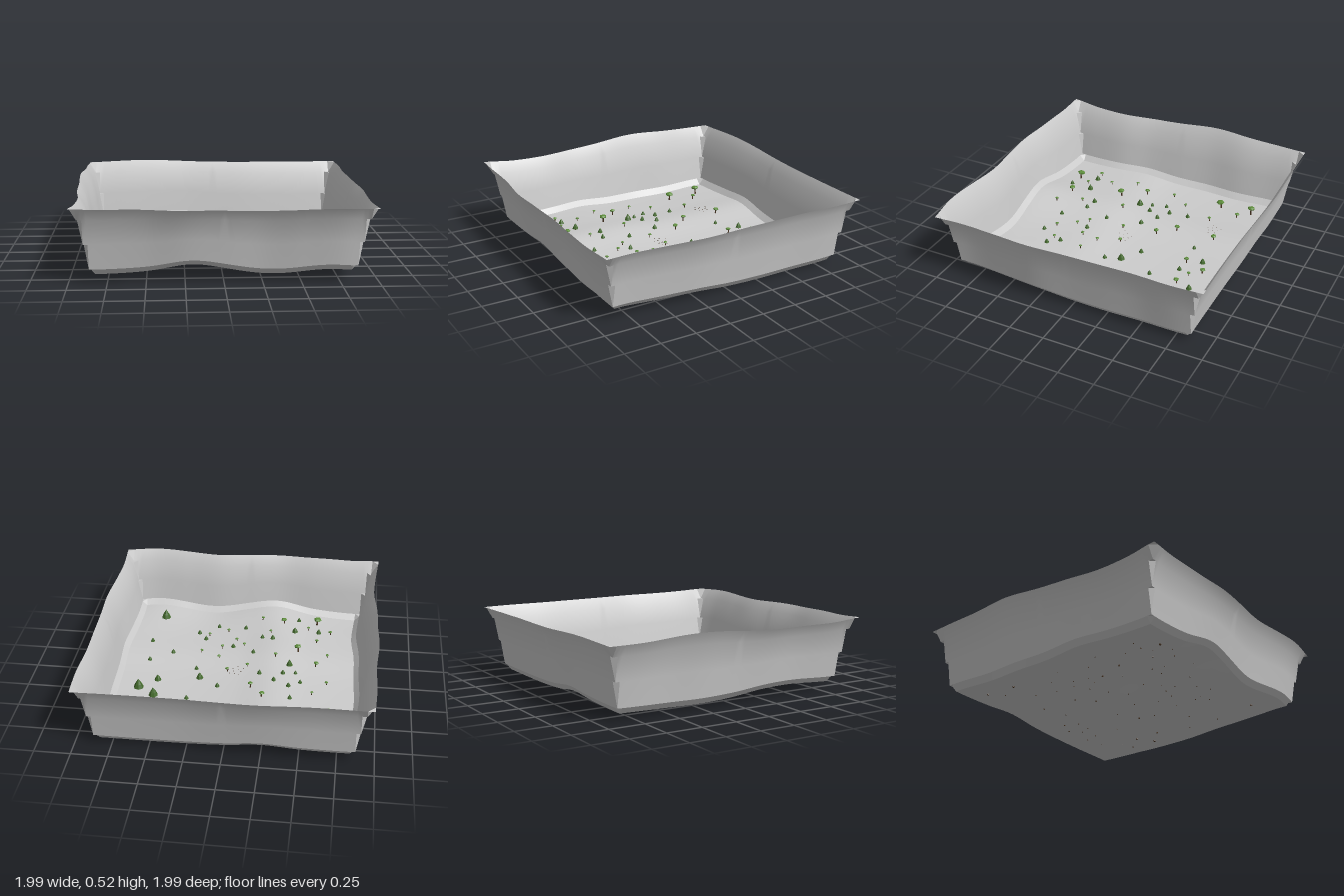
import * as THREE from 'three';
import { toCreasedNormals } from 'three/addons/utils/BufferGeometryUtils.js';

// Smooth curve through evenly spaced values over -1..1
const spline = (values) => {
  const c = new THREE.SplineCurve(values.map((v, i) => new THREE.Vector2(i, v)));
  return (t) => c.getPoint(THREE.MathUtils.clamp((t + 1) / 2, 0, 1)).y;
};
// Sum of soft bumps [x, z, height, radius]
const bumps = (list, x, z) => list.reduce((s, [bx, bz, h, r]) =>
  s + h * Math.exp(-((x - bx) ** 2 + (z - bz) ** 2) / (r * r)), 0);

// Ground relief and wall-top relief
const alongX = spline([0.03, 0.033, 0.045, 0.062, 0.03, 0.014, 0.01, 0.012, 0.015]);
const alongZ = spline([0.022, 0.018, 0.011, 0.011, 0.02, 0.045, 0.045, 0.035, 0.03]);
const floorBumps = [[-0.1, 0.87, 0.045, 0.28], [0.68, 0.87, 0.045, 0.28]];
const ground = (x, z) => alongX(x) + alongZ(z) - 0.01 + bumps(floorBumps, x, z);
const topBumps = [[-0.98, -0.3, 0.035, 0.35], [-0.98, 0.98, 0.02, 0.15], [-0.6, 0.98, 0.02, 0.3],
  [-0.1, 0.98, 0.012, 0.25], [0.7, 0.98, 0.017, 0.3], [-0.55, -0.98, 0.018, 0.35]];
const wallTop = (x, z) => 0.487 + bumps(topBumps, x, z);

// Outward waviness of each wall
const wave = {
  left: spline([0.0, 0.01, 0.005, 0.02, 0.01, 0.005, -0.02, -0.01, 0.01]),
  right: spline([0.0, 0.01, 0.0, 0.005, 0.01, 0.02, 0.005, -0.005, 0.01]),
  back: spline([0.0, 0.01, 0.02, 0.022, 0.01, 0.0, -0.002, 0.0, 0.005]),
  front: spline([-0.01, -0.01, 0.0, 0.022, 0.01, -0.006, 0.01, 0.02, -0.01]),
};

// Wall profile: distance from centre, and fraction of wall height
const RING = [0.83, 0.865, 0.895, 0.928, 0.975];
const RISE = [0, 0.09, 0.47, 0.83, 1];
const INNER = 48, EDGE = 4, N = INNER + 2 * EDGE;

// One grid whose outer rows rise as walls, with stepped corners
function terrainGeometry() {
  const line = (i) => {
    const k = i - N / 2, a = Math.abs(k) - INNER / 2;
    return a <= 0 ? (k / (INNER / 2)) * RING[0] : Math.sign(k) * RING[a];
  };
  const pos = [], index = [];
  for (let j = 0; j <= N; j++) {
    for (let i = 0; i <= N; i++) {
      const x = line(i), z = line(j);
      const ring = Math.max(0, Math.max(Math.abs(i - N / 2), Math.abs(j - N / 2)) - INNER / 2);
      const y = THREE.MathUtils.lerp(ground(x, z), wallTop(x, z), RISE[ring]);
      const sx = THREE.MathUtils.smoothstep(Math.abs(x), 0.5, 0.83);
      const sz = THREE.MathUtils.smoothstep(Math.abs(z), 0.5, 0.83);
      const dx = x > 0 ? wave.right(z) : -wave.left(z);
      const dz = z > 0 ? wave.front(x) : -wave.back(x);
      pos.push(x + dx * sx, y, z + dz * sz);
    }
  }
  for (let j = 0; j < N; j++) {
    for (let i = 0; i < N; i++) {
      const a = j * (N + 1) + i, b = a + 1, c = a + N + 1, d = c + 1;
      // the diagonal runs across each corner
      if ((i < N / 2) === (j < N / 2)) index.push(a, c, b, b, c, d);
      else index.push(a, c, d, a, d, b);
    }
  }
  const g = new THREE.BufferGeometry();
  g.setAttribute('position', new THREE.Float32BufferAttribute(pos, 3));
  g.setIndex(index);
  return toCreasedNormals(g, 0.4);
}

// Trees as x, z, crown radius
const CONIFERS = [
  [0.57, -0.31, 0.034], [0.69, -0.23, 0.037], [0.64, 0.66, 0.036], [0.70, -0.44, 0.025],
  [0.57, -0.12, 0.025], [0.27, -0.07, 0.026], [-0.37, 0.09, 0.025], [0.07, -0.61, 0.021],
  [0.38, -0.64, 0.021], [0.52, -0.61, 0.016], [0.61, -0.48, 0.016], [0.20, -0.49, 0.017],
  [-0.06, -0.49, 0.014], [0.33, -0.32, 0.016], [0.13, -0.16, 0.017], [0.31, 0.04, 0.016],
  [0.67, 0.11, 0.016], [0.51, 0.21, 0.017], [0.69, 0.34, 0.016], [0.29, 0.41, 0.017],
  [0.35, 0.49, 0.017], [0.21, 0.59, 0.016], [0, 0.56, 0.016], [-0.38, 0.52, 0.022],
  [-0.56, 0.55, 0.02], [-0.40, 0.69, 0.016], [-0.22, 0.40, 0.018], [-0.14, 0.42, 0.016],
  [0.07, 0.31, 0.017], [-0.09, 0.23, 0.016], [-0.16, -0.02, 0.018], [-0.27, -0.10, 0.017],
  [-0.33, -0.01, 0.017], [-0.42, 0.01, 0.014], [-0.46, -0.09, 0.015], [-0.38, -0.15, 0.017],
  [-0.40, -0.29, 0.016],
];
const BROADLEAVES = [
  [-0.67, -0.69, 0.03], [-0.67, -0.45, 0.03], [-0.58, -0.61, 0.018], [-0.44, -0.45, 0.015],
  [-0.20, -0.58, 0.021], [-0.20, -0.29, 0.02], [-0.11, -0.17, 0.02], [0.17, -0.65, 0.02],
  [0.10, -0.50, 0.02], [0.34, -0.53, 0.02], [0.23, -0.57, 0.014], [-0.55, -0.21, 0.013],
  [-0.65, -0.07, 0.013], [-0.56, 0.12, 0.02], [-0.42, 0.27, 0.027], [-0.64, 0.24, 0.013],
  [-0.55, 0.42, 0.013], [-0.65, 0.56, 0.015], [-0.54, 0.69, 0.03], [-0.48, 0.59, 0.013],
  [-0.29, 0.63, 0.022], [-0.12, 0.67, 0.013], [-0.20, 0.49, 0.013], [0.13, 0.53, 0.013],
  [0.27, 0.47, 0.013], [0.05, 0.40, 0.013], [-0.01, 0.33, 0.013], [0.15, 0.30, 0.014],
  [0.16, 0.18, 0.013], [0.30, 0.24, 0.013], [0.08, 0.03, 0.015], [-0.06, 0.08, 0.014],
  [-0.26, 0.18, 0.015],
];

export function createModel() {
  const model = new THREE.Group();
  const paint = (color) => new THREE.MeshStandardMaterial({ color, flatShading: true });
  const bark = paint(0x4a3522), pine = paint(0x42692a), leaf = paint(0x5c8c3a);
  const add = (parent, name, geometry, material) => {
    const m = new THREE.Mesh(geometry, material);
    m.name = name;
    parent.add(m);
    return m;
  };

  // Floor and walls
  add(model, 'terrain', terrainGeometry(),
    new THREE.MeshStandardMaterial({ color: 0xcccccc, side: THREE.DoubleSide }));

  // Unit-radius tree parts, scaled per tree
  const trunk = new THREE.CylinderGeometry(0.16, 0.24, 1.7, 5).translate(0, 0.55, 0);
  const skirt = new THREE.CylinderGeometry(0.66, 1, 0.8, 7).translate(0, 0.8, 0);
  const tip = new THREE.ConeGeometry(0.66, 1.1, 7).translate(0, 1.75, 0);
  const crown = new THREE.IcosahedronGeometry(1, 0).scale(1, 0.5, 1).translate(0, 1.7, 0);
  const tree = (name, x, z, r, i) => {
    const t = new THREE.Group();
    t.name = name;
    t.position.set(x, ground(x, z), z);
    t.rotation.y = i * 2.4;
    t.scale.setScalar(r);
    add(t, 'trunk', trunk, bark);
    model.add(t);
    return t;
  };
  CONIFERS.forEach(([x, z, r], i) => {
    const t = tree('conifer', x, z, r, i);
    add(t, 'lowerCrown', skirt, pine);
    add(t, 'upperCrown', tip, pine);
  });
  BROADLEAVES.forEach(([x, z, r], i) => {
    add(tree('broadleaf', x, z, r, i), 'crown', crown, leaf).rotation.z = 0.12;
  });

  // Two loose scatters of pebbles
  const pebble = new THREE.TetrahedronGeometry(0.005);
  for (const [cx, cz] of [[-0.32, -0.53], [0.02, 0.03]]) {
    for (let i = 0; i < 10; i++) {
      const r = 0.02 * Math.sqrt(i + 0.5), a = i * 2.4;
      const x = cx + r * Math.cos(a), z = cz + r * Math.sin(a);
      add(model, 'pebble', pebble, bark).position.set(x, ground(x, z) + 0.003, z);
    }
  }
  return model;
}
